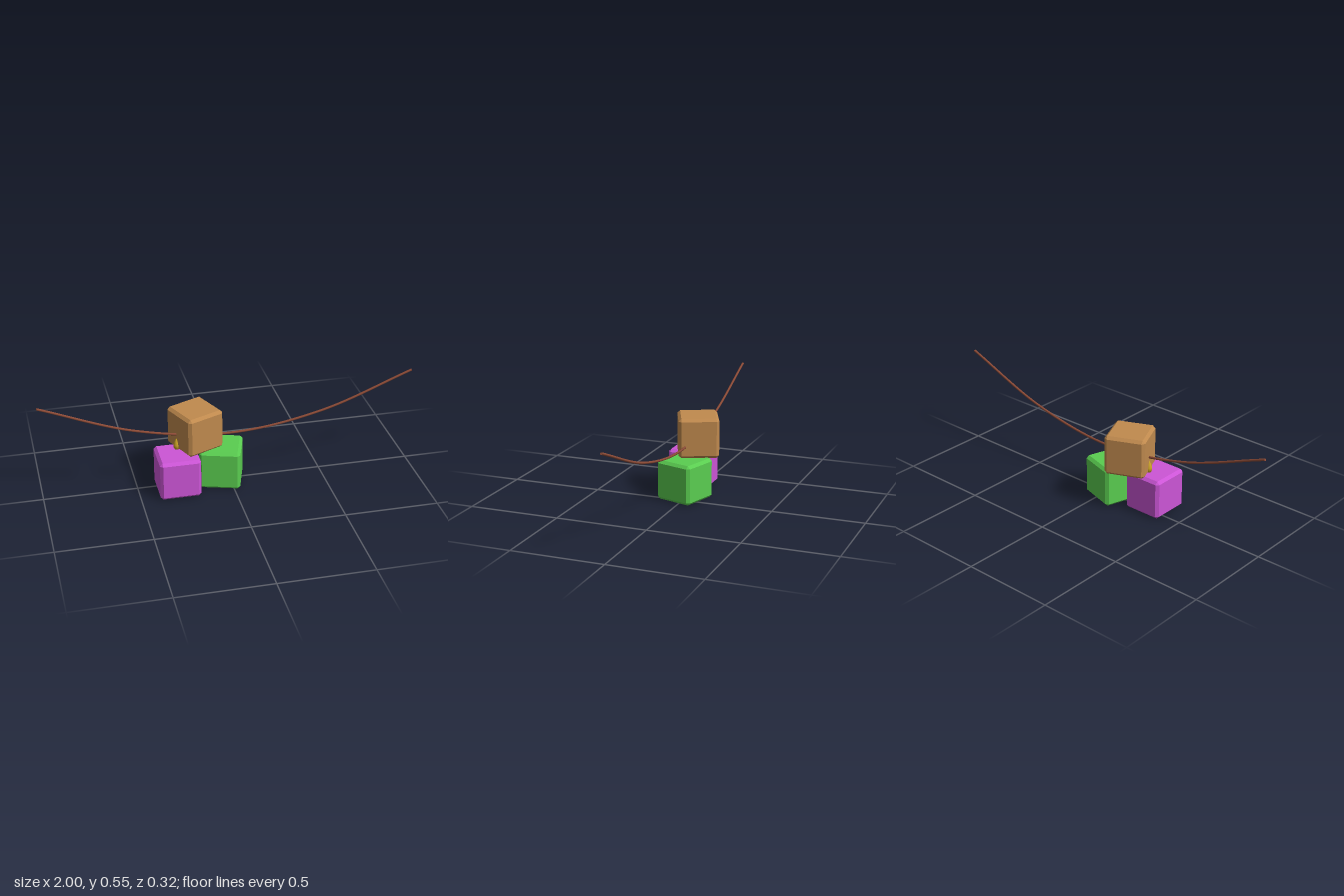
import * as THREE from 'three';
import { ConvexGeometry } from 'three/addons/geometries/ConvexGeometry.js';

const SIZE = 0.218, BEVEL = 0.015;

function material(color, flatShading = false) {
  return new THREE.MeshStandardMaterial({ color, flatShading });
}

// Cube with chamfered edges and triangular corners
function chamferedCube(name, color, x, y, z, turn) {
  const h = SIZE / 2, k = h - BEVEL, points = [];
  for (const sx of [-1, 1]) for (const sy of [-1, 1]) for (const sz of [-1, 1]) {
    points.push(
      new THREE.Vector3(sx * h, sy * k, sz * k),
      new THREE.Vector3(sx * k, sy * h, sz * k),
      new THREE.Vector3(sx * k, sy * k, sz * h));
  }
  const mesh = new THREE.Mesh(new ConvexGeometry(points), material(color, true));
  mesh.name = name;
  mesh.position.set(x, y, z);
  mesh.rotation.y = turn;
  return mesh;
}

// Sagging cord with closed ends
function createCord() {
  const cord = new THREE.Group();
  cord.name = 'cord';
  const mat = material(0x8b4a36);
  const curve = new THREE.CatmullRomCurve3(
    [[-1, 0.54], [-0.5, 0.352], [0, 0.279], [0.5, 0.352], [1, 0.54]]
      .map(([x, y]) => new THREE.Vector3(x, y, 0.006)));
  const radius = 0.0065;
  const strand = new THREE.Mesh(new THREE.TubeGeometry(curve, 48, radius, 8), mat);
  strand.name = 'cordStrand';
  cord.add(strand);
  for (const t of [0, 1]) {
    const cap = new THREE.Mesh(new THREE.CircleGeometry(radius, 8), mat);
    cap.name = 'cordEnd';
    cap.position.copy(curve.getPoint(t));
    const out = curve.getTangent(t).multiplyScalar(t ? 1 : -1);
    cap.quaternion.setFromUnitVectors(new THREE.Vector3(0, 0, 1), out);
    cord.add(cap);
  }
  return cord;
}

// Small drop-shaped pendant below the cord
function createPendant() {
  const profile = [[0, -0.036], [0.012, -0.032], [0.018, -0.018], [0.018, -0.006],
    [0.012, 0.012], [0.005, 0.026], [0, 0.034]].map(([r, y]) => new THREE.Vector2(r, y));
  const pendant = new THREE.Mesh(new THREE.LatheGeometry(profile, 12), material(0xc9a227));
  pendant.name = 'pendant';
  pendant.position.set(-0.285, 0.252, 0.008);
  return pendant;
}

export function createModel() {
  const model = new THREE.Group();
  model.name = 'blocksAndCord';
  const low = SIZE / 2;
  model.add(
    chamferedCube('purpleBlock', 0xcc55d6, -0.292, low, 0.049, 0),
    chamferedCube('greenBlock', 0x5acd50, -0.045, low, 0.004, -0.3),
    chamferedCube('woodBlock', 0xc08a4e, -0.18, low + SIZE - 0.002, -0.02, 0.41),
    createCord(),
    createPendant());
  return model;
}
